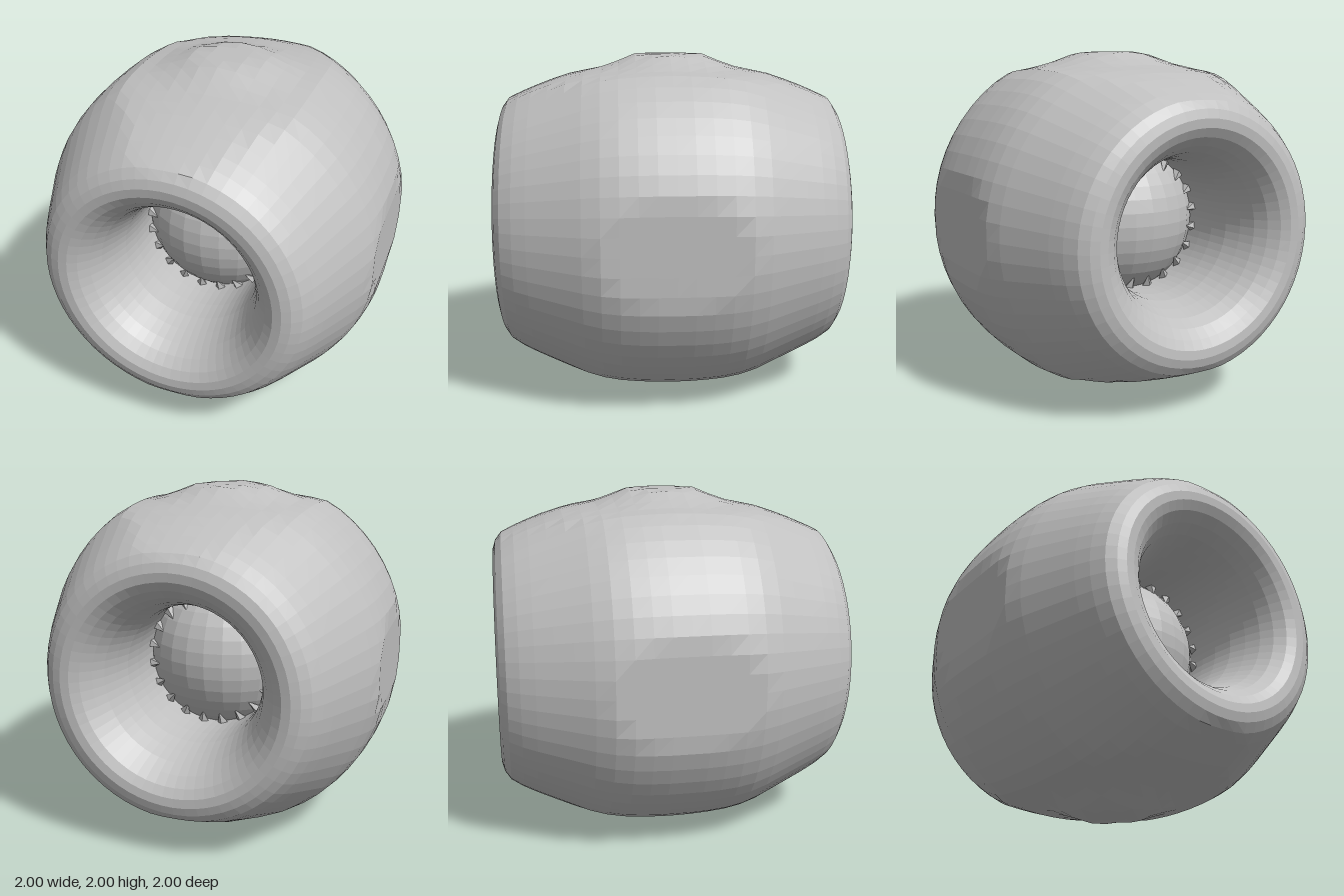
import * as THREE from 'three';

const lerpTable = (table, t) => {
  for (let i = 1; i < table.length; i++) {
    const [a, va] = table[i - 1], [b, vb] = table[i];
    if (t <= b) return va + (vb - va) * Math.max(0, (t - a) / (b - a));
  }
  return table[table.length - 1][1];
};

// Height limit of the body around its top and bottom poles: [distance from pole, height]
const poleCap = [[0, 1], [0.2, 0.998], [0.3, 0.957], [0.42, 0.915], [0.5, 0.9],
  [0.6, 0.88], [0.75, 0.83], [0.87, 0.78], [1, 0.72], [1.2, 0.6]];

// Half profiles along the hole axis: [radius, z]
const outerHalf = [[1.04, 0], [1.04, 0.1], [1.035, 0.2], [1.025, 0.3], [1.005, 0.4], [0.97, 0.5],
  [0.925, 0.6], [0.88, 0.7], [0.835, 0.8], [0.795, 0.88], [0.75, 0.95], [0.7, 0.985], [0.65, 1]];
const funnelHalf = [[0.6, 0.995], [0.55, 0.965], [0.5, 0.91], [0.46, 0.84], [0.43, 0.75],
  [0.405, 0.65], [0.395, 0.53], [0.395, 0.42], [0.4, 0.28], [0.4, 0]];

const flip = (points) => points.map(([r, z]) => [r, -z]);

// Rounded ring body with a funnel at each end
function bodyGeometry() {
  const profile = [
    ...flip(outerHalf).reverse(), ...outerHalf.slice(1),
    ...funnelHalf, ...flip(funnelHalf).reverse().slice(1), [0.65, -1],
  ].map(([r, z]) => new THREE.Vector2(r, z));
  const geo = new THREE.LatheGeometry(profile, 60);
  geo.rotateX(Math.PI / 2);
  const p = geo.attributes.position;
  for (let i = 0; i < p.count; i++) {
    const x = THREE.MathUtils.clamp(p.getX(i), -1, 1), z = p.getZ(i);
    const cap = lerpTable(poleCap, Math.hypot(x, z));
    p.setXYZ(i, x, THREE.MathUtils.clamp(p.getY(i), -cap, cap), z);
  }
  geo.computeVertexNormals();
  return geo;
}

export function createModel() {
  const model = new THREE.Group();
  model.name = 'ringWithBall';
  const grey = new THREE.MeshStandardMaterial({ color: 0xc0c0c0, flatShading: true });
  grey.name = 'plainGrey';

  const add = (name, geo, parent) => {
    const mesh = new THREE.Mesh(geo, grey);
    mesh.name = name;
    parent.add(mesh);
    return mesh;
  };

  const shape = new THREE.Group();
  shape.name = 'shape';
  shape.position.y = 1;
  model.add(shape);

  add('ringBody', bodyGeometry(), shape);

  // Ball filling the middle of the hole
  add('ball', new THREE.SphereGeometry(0.5, 28, 20), shape);

  // Jagged teeth where the ball meets the hole, at both ends
  const tooth = new THREE.ConeGeometry(0.035, 0.09, 4);
  for (const side of [1, -1]) {
    const teeth = new THREE.Group();
    teeth.name = side > 0 ? 'frontTeeth' : 'backTeeth';
    shape.add(teeth);
    for (let i = 0; i < 20; i++) {
      const a = ((i + 0.5) / 20) * Math.PI * 2;
      const mesh = add('tooth', tooth, teeth);
      mesh.position.set(Math.cos(a) * 0.365, Math.sin(a) * 0.365, side * 0.35);
      const inward = new THREE.Vector3(-Math.cos(a), -Math.sin(a), side * 0.5).normalize();
      mesh.quaternion.setFromUnitVectors(new THREE.Vector3(0, 1, 0), inward);
    }
  }
  return model;
}
